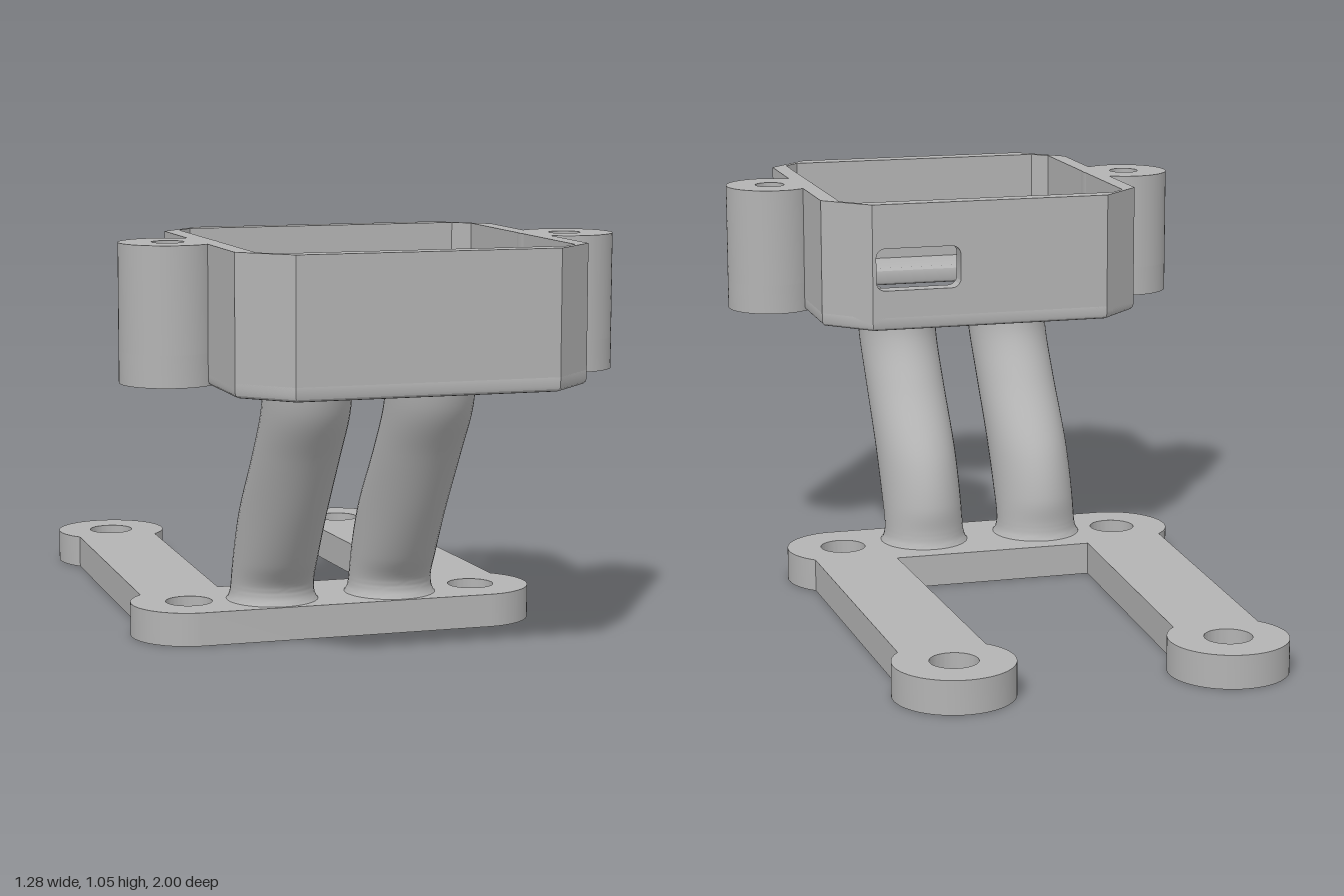
import * as THREE from 'three';
import { toCreasedNormals } from 'three/addons/utils/BufferGeometryUtils.js';

const grey = new THREE.MeshStandardMaterial({ color: 0xb3b3b3 });
grey.name = 'grey plastic';

function part(name, geometry) {
  const mesh = new THREE.Mesh(geometry, grey);
  mesh.name = name;
  return mesh;
}

// Extrude a plan drawn in (x, z) between two heights
function slab(shape, bottom, top, bevel = 0) {
  const g = new THREE.ExtrudeGeometry(shape, {
    depth: top - bottom - 2 * bevel, curveSegments: 32, bevelEnabled: bevel > 0,
    bevelThickness: bevel, bevelSize: bevel, bevelOffset: -bevel, bevelSegments: 3,
  });
  g.rotateX(Math.PI / 2).translate(0, top - bevel, 0);
  return toCreasedNormals(g, 0.5);
}

const polygon = (pts) => new THREE.Shape(pts.map(([x, y]) => new THREE.Vector2(x, y)));
const circle = (x, y, r) => new THREE.Path().absarc(x, y, r, 0, Math.PI * 2);

function roundedRect(x0, y0, x1, y1, r) {
  const p = new THREE.Path(), q = Math.PI / 2;
  p.absarc(x1 - r, y1 - r, r, 0, q);
  p.absarc(x0 + r, y1 - r, r, q, 2 * q);
  p.absarc(x0 + r, y0 + r, r, 2 * q, 3 * q);
  p.absarc(x1 - r, y0 + r, r, 3 * q, 4 * q);
  p.closePath();
  return p;
}

// U-shaped mounting plate with four screw eyelets
function basePlate() {
  const r = 0.153, s = new THREE.Shape();
  const eye = (cx, cz, from, to) => {
    const a = Math.atan2(from[1] - cz, from[0] - cx);
    let b = Math.atan2(to[1] - cz, to[0] - cx);
    if (b < a) b += Math.PI * 2;
    s.absarc(cx, cz, r, a, b);
    s.holes.push(circle(cx, cz, 0.061));
  };
  eye(-0.385, 0.215, [-0.385, 0.37], [-0.49, 0.10]);
  eye(-0.345, -0.848, [-0.46, -0.75], [-0.24, -0.74]);
  s.lineTo(-0.265, 0.06);
  s.lineTo(0.28, 0.06);
  eye(0.36, -0.848, [0.25, -0.74], [0.475, -0.75]);
  eye(0.397, 0.215, [0.50, 0.10], [0.397, 0.37]);
  s.closePath();
  return slab(s, 0, 0.087);
}

// S-curved leg lofted from horizontal ellipses, flared at the foot
function legGeometry(cx) {
  // centre z, height y, half depth
  const curve = new THREE.CatmullRomCurve3([
    [0.236, 0.08, 0.11], [0.238, 0.13, 0.112], [0.265, 0.2, 0.138], [0.33, 0.325, 0.158],
    [0.455, 0.5, 0.145], [0.533, 0.62, 0.15], [0.556, 0.712, 0.158],
  ].map((p) => new THREE.Vector3(...p)));
  const rows = 48, n = 40, pos = [], idx = [];
  for (let i = 0; i <= rows; i++) {
    const { x: z, y, z: rz } = curve.getPoint(i / rows);
    const flare = 0.02 * Math.exp(-(y - 0.08) / 0.015);
    for (let j = 0; j < n; j++) {
      const a = (j / n) * Math.PI * 2;
      pos.push(cx + (0.108 + flare) * Math.cos(a), y, z + (rz + flare) * Math.sin(a));
    }
  }
  for (let i = 0; i < rows; i++) for (let j = 0; j < n; j++) {
    const a = i * n + j, b = i * n + (j + 1) % n;
    idx.push(a, a + n, b, b, a + n, b + n);
  }
  // top cap
  const top = rows * n;
  for (let j = 1; j < n - 1; j++) idx.push(top, top + j + 1, top + j);
  const g = new THREE.BufferGeometry();
  g.setAttribute('position', new THREE.Float32BufferAttribute(pos, 3));
  g.setIndex(idx);
  return toCreasedNormals(g, 0.8);
}

// Open-topped tray with chamfered corners, a floor opening and a slot in the back
function tray() {
  const group = new THREE.Group();
  group.name = 'tray';
  const X = 0.445, B = 0.105, F = 0.998, c = 0.115;
  const x = 0.4, b = 0.152, f = 0.945, k = 0.04;
  const low = 0.71, high = 1.055, gap0 = 0.04, gap1 = 0.33;

  const floor = polygon([
    [X, B + c], [X, F - c], [X - c, F], [c - X, F], [-X, F - c], [-X, B + c], [c - X, B], [X - c, B],
  ]);
  floor.holes.push(roundedRect(-0.215, 0.335, 0.212, 0.765, 0.05));
  group.add(part('trayFloor', slab(floor, low, 0.76, 0.014)));

  // wall ring, open where the slotted panel sits
  const walls = polygon([
    [gap1, B], [X, B + c], [X, F - c], [X - c, F], [c - X, F], [-X, F - c], [-X, B + c], [c - X, B], [gap0, B],
    [gap0, b], [k - x, b], [-x, b + k], [-x, f - k], [k - x, f], [x - k, f], [x, f - k], [x, b + k], [x - k, b],
    [gap1, b],
  ]);
  group.add(part('trayWalls', slab(walls, low + 0.014, high)));

  const panel = polygon([[gap0, low + 0.014], [gap1, low + 0.014], [gap1, high], [gap0, high]]);
  panel.holes.push(roundedRect(0.085, 0.82, 0.32, 0.935, 0.025));
  const g = new THREE.ExtrudeGeometry(panel, { depth: b - B, bevelEnabled: false, curveSegments: 8 });
  g.translate(0, 0, B);
  group.add(part('slottedBackPanel', toCreasedNormals(g, 0.5)));
  return group;
}

// Screw boss: round hole through, hexagonal nut pocket underneath
function screwBoss(side) {
  const group = new THREE.Group();
  group.name = side > 0 ? 'leftScrewBoss' : 'rightScrewBoss';
  const cx = side * 0.52, cz = 0.547, r = 0.122;
  const disc = () => new THREE.Shape().absarc(cx, cz, r, 0, Math.PI * 2);
  const upper = disc(), lower = disc();
  upper.holes.push(circle(cx, cz, 0.04));
  const hex = [];
  for (let i = 0; i < 6; i++) {
    const a = (i + 0.5) * Math.PI / 3;
    hex.push(new THREE.Vector2(cx + 0.083 * Math.cos(a), cz + 0.083 * Math.sin(a)));
  }
  lower.holes.push(new THREE.Path(hex));
  group.add(part('bossBody', slab(upper, 0.79, 1.055)));
  group.add(part('nutPocket', slab(lower, 0.71, 0.79)));
  return group;
}

export function createModel() {
  const model = new THREE.Group();
  model.name = 'trayStand';
  model.add(part('basePlate', basePlate()));
  model.add(part('rightLeg', legGeometry(-0.165)));
  model.add(part('leftLeg', legGeometry(0.16)));
  model.add(tray());
  for (const side of [-1, 1]) model.add(screwBoss(side));
  return model;
}
